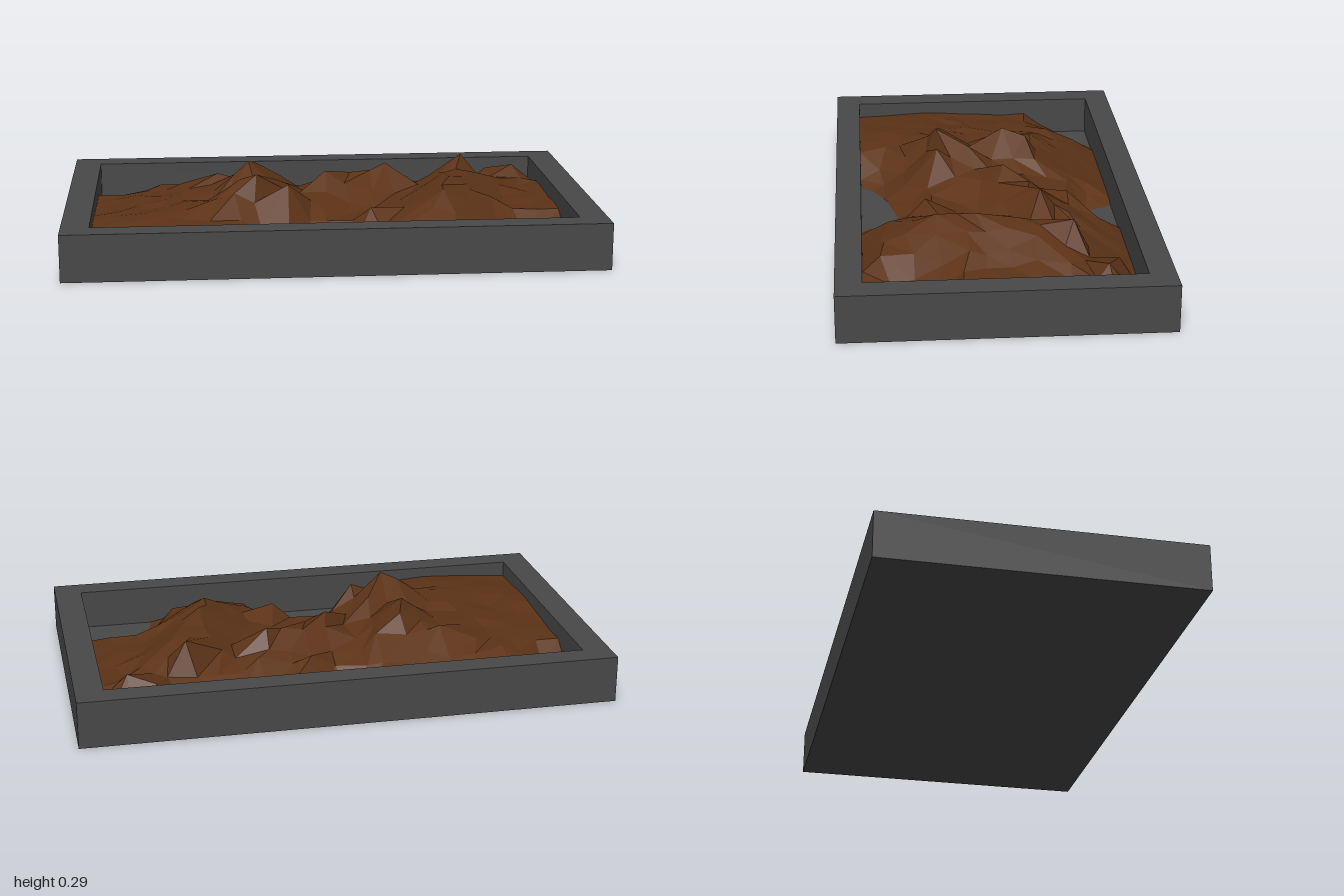
import * as THREE from 'three';

const WALL_H = 0.177, FLOOR = 0.026;
const IN_X = 0.896, IN_Z = 0.495, OUT_Z = 0.591;

// Ridge lines of the soil: start x,z,y, end x,z,y, slope of the sides
const ridges = [
  [-0.28, 0.19, 0.287, -0.20, 0.06, 0.235, 0.62],
  [-0.34, 0.17, 0.265, -0.16, 0.19, 0.245, 0.7],
  [-0.30, -0.08, 0.276, -0.27, -0.17, 0.25, 0.75],
  [-0.27, -0.17, 0.25, -0.42, -0.20, 0.20, 0.6],
  [0.00, -0.06, 0.236, 0.25, -0.18, 0.236, 0.8],
  [0.10, -0.30, 0.16, 0.30, -0.28, 0.16, 0.4],
  [0.43, 0.22, 0.222, 0.47, 0.08, 0.238, 0.5],
  [0.47, 0.08, 0.238, 0.57, -0.27, 0.246, 0.6],
  [0.15, 0.25, 0.165, 0.38, 0.30, 0.175, 0.7],
  [0.80, -0.37, 0.174, 0.70, -0.42, 0.15, 0.6],
  [-0.55, 0.25, 0.17, -0.45, -0.15, 0.165, 0.13],
];
// Hollows that reach down to the tray floor: x, z, radius
const pits = [[0.82, 0.44, 0.3], [-0.87, -0.48, 0.22], [0.03, -0.5, 0.16], [0, 0.46, 0.2], [-0.2, 0.5, 0.14]];

function seeded(seed) {
  return () => (seed = (seed * 16807) % 2147483647) / 2147483647;
}

function ridgeHeight(x, z, [x1, z1, y1, x2, z2, y2, slope]) {
  const dx = x2 - x1, dz = z2 - z1;
  const t = THREE.MathUtils.clamp(((x - x1) * dx + (z - z1) * dz) / (dx * dx + dz * dz), 0, 1);
  return y1 + (y2 - y1) * t - slope * Math.hypot(x - x1 - dx * t, z - z1 - dz * t);
}

function soilHeight(x, z) {
  let y = Math.max(0.115, ...ridges.map((r) => ridgeHeight(x, z, r)));
  y = Math.min(y, 0.04 + 0.5 * (z + IN_Z)); // falls away at the back
  if (x > -0.35) y = Math.min(y, 0.045 + 0.9 * (IN_Z - z)); // and along part of the front
  for (const [px, pz, r] of pits) {
    y = Math.min(y, FLOOR - 0.02 + Math.max(0, Math.hypot(x - px, z - pz) - r * 0.6) * 0.9);
  }
  return Math.max(0.008, y);
}

// Faceted soil: a jittered grid shaped by the ridges, with vertices snapped to the peaks
function soilGeometry() {
  const random = seeded(71);
  const nx = 20, nz = 11;
  const geo = new THREE.PlaneGeometry(2 * IN_X, 2 * IN_Z, nx, nz).rotateX(-Math.PI / 2);
  const p = geo.attributes.position;
  for (let i = 0; i < p.count; i++) {
    let x = p.getX(i), z = p.getZ(i);
    if (Math.abs(x) < IN_X - 0.01) x += (random() - 0.5) * 0.05;
    if (Math.abs(z) < IN_Z - 0.01) z += (random() - 0.5) * 0.05;
    const y = soilHeight(x, z);
    const bump = y > 0.05 && y < 0.17 ? (random() - 0.5) * 0.014 : 0;
    p.setXYZ(i, x, y + bump, z);
  }
  for (const [x1, z1, y1, x2, z2, y2] of ridges) {
    for (const [x, z, y] of [[x1, z1, y1], [x2, z2, y2]]) {
      let best = 0, bestD = Infinity;
      for (let i = 0; i < p.count; i++) {
        const d = Math.hypot(p.getX(i) - x, p.getZ(i) - z);
        if (d < bestD) { bestD = d; best = i; }
      }
      p.setXYZ(best, x, Math.max(y, soilHeight(x, z)), z);
    }
  }
  geo.computeVertexNormals();
  return geo;
}

function rectangle(target, hx, hz) {
  target.moveTo(-hx, -hz).lineTo(hx, -hz).lineTo(hx, hz).lineTo(-hx, hz).closePath();
  return target;
}

export function createModel() {
  const group = new THREE.Group();
  const trayMat = new THREE.MeshStandardMaterial({ color: 0x484848, flatShading: true });
  const soilMat = new THREE.MeshStandardMaterial({ color: 0x5c3317, flatShading: true, side: THREE.DoubleSide });
  const add = (name, geometry, material) => {
    const mesh = new THREE.Mesh(geometry, material);
    mesh.name = name;
    group.add(mesh);
  };

  // Rectangular tray rim
  const rim = rectangle(new THREE.Shape(), 1, OUT_Z);
  rim.holes.push(rectangle(new THREE.Path(), IN_X, IN_Z));
  add('trayWalls', new THREE.ExtrudeGeometry(rim, { depth: WALL_H, bevelEnabled: false }).rotateX(-Math.PI / 2), trayMat);

  // Tray floor
  add('trayFloor', new THREE.BoxGeometry(2 * IN_X, FLOOR, 2 * IN_Z).translate(0, FLOOR / 2, 0), trayMat);

  // Heaped soil
  add('soil', soilGeometry(), soilMat);
  return group;
}
